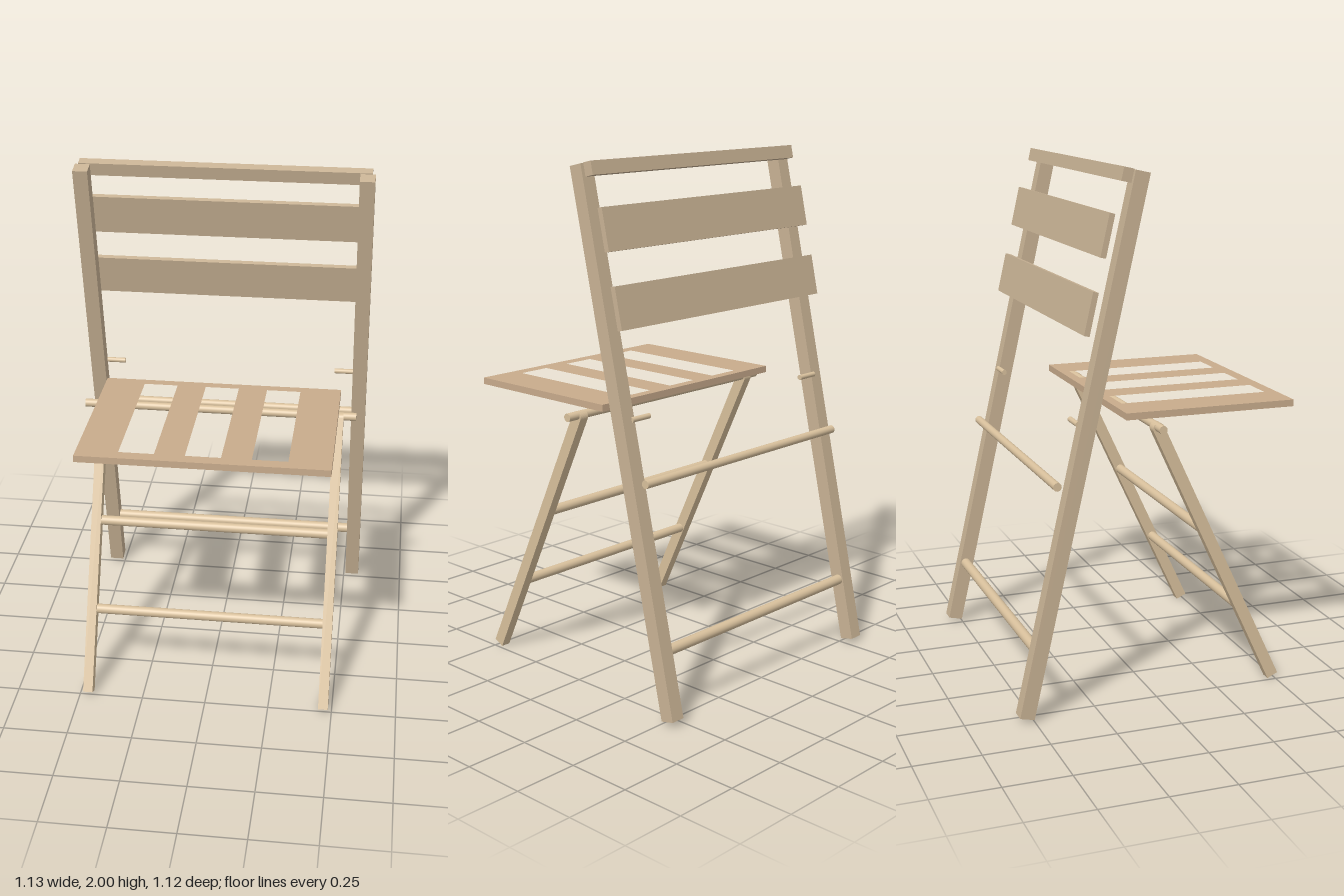
import * as THREE from 'three';

const frameWood = new THREE.MeshStandardMaterial({ color: 0xc8b294 });
const rodWood = new THREE.MeshStandardMaterial({ color: 0xd8c09c });
const seatWood = new THREE.MeshStandardMaterial({ color: 0xc8ab8c });

const BACK_LEAN = Math.atan2(0.442, 1.965);

export function createModel() {
  const model = new THREE.Group();

  const add = (name, geometry, material, x, y, z, lean = 0) => {
    const mesh = new THREE.Mesh(geometry, material);
    mesh.name = name;
    mesh.position.set(x, y, z);
    mesh.rotation.x = lean;
    model.add(mesh);
    return mesh;
  };

  // Horizontal round rod running along x
  const rod = (name, length, radius, y, z, x = 0) =>
    add(name, new THREE.CylinderGeometry(radius, radius, length, 24).rotateZ(Math.PI / 2), rodWood, x, y, z);

  // Leaning back frame: posts, top rail and back slats
  const postLength = Math.hypot(0.442, 1.965);
  for (const side of [-1, 1]) {
    add('backPost', new THREE.BoxGeometry(0.057, postLength, 0.056), frameWood,
      side * 0.536, 1.0, -0.309, BACK_LEAN);
  }
  add('topRail', new THREE.BoxGeometry(1.106, 0.05, 0.038), frameWood, 0, 1.971, -0.141, BACK_LEAN);
  for (const [y, z] of [[1.764, -0.214], [1.493, -0.275]]) {
    add('backSlat', new THREE.BoxGeometry(1.106, 0.157, 0.021), frameWood, 0, y, z, BACK_LEAN);
  }
  rod('backUpperRung', 1.08, 0.016, 0.877, -0.4);
  rod('backLowerRung', 1.03, 0.02, 0.262, -0.479);
  for (const side of [-1, 1]) rod('seatStopPeg', 0.09, 0.01, 1.095, -0.316, side * 0.477);

  // Front legs, rounded at the pivot end
  const foot = { y: 0.0095, z: 0.492 };
  const pivot = { y: 1.043, z: 0.008 };
  const legLength = Math.hypot(pivot.y - foot.y, pivot.z - foot.z);
  const legLean = Math.atan2(pivot.z - foot.z, pivot.y - foot.y);
  const half = 0.0225;
  const legShape = new THREE.Shape();
  legShape.moveTo(-half, 0);
  legShape.lineTo(half, 0);
  legShape.lineTo(half, legLength);
  legShape.absarc(0, legLength, half, 0, Math.PI, false);
  legShape.closePath();
  const legGeometry = new THREE.ExtrudeGeometry(legShape, { depth: 0.038, bevelEnabled: false, curveSegments: 16 })
    .translate(0, 0, -0.019)
    .rotateY(-Math.PI / 2);
  for (const side of [-1, 1]) {
    add('frontLeg', legGeometry, rodWood, side * 0.467, foot.y, foot.z, legLean);
  }

  // Pivot rod and front rungs
  rod('pivotRod', 1.07, 0.016, 1.05, 0.006);
  rod('frontUpperRung', 0.91, 0.019, 0.63, 0.2);
  rod('frontLowerRung', 0.91, 0.019, 0.31, 0.35);

  // Seat panel with three long openings
  const rectangle = (path, x0, x1, z0, z1) => {
    path.moveTo(x0, -z0);
    path.lineTo(x1, -z0);
    path.lineTo(x1, -z1);
    path.lineTo(x0, -z1);
    path.closePath();
    return path;
  };
  const seatShape = rectangle(new THREE.Shape(), -0.468, 0.468, -0.112, 0.56);
  for (const x of [-0.245, 0, 0.244]) {
    seatShape.holes.push(rectangle(new THREE.Path(), x - 0.066, x + 0.066, -0.074, 0.512));
  }
  const seatGeometry = new THREE.ExtrudeGeometry(seatShape, { depth: 0.026, bevelEnabled: false })
    .rotateX(-Math.PI / 2);
  add('seat', seatGeometry, seatWood, 0, 1.081, 0);

  return model;
}
